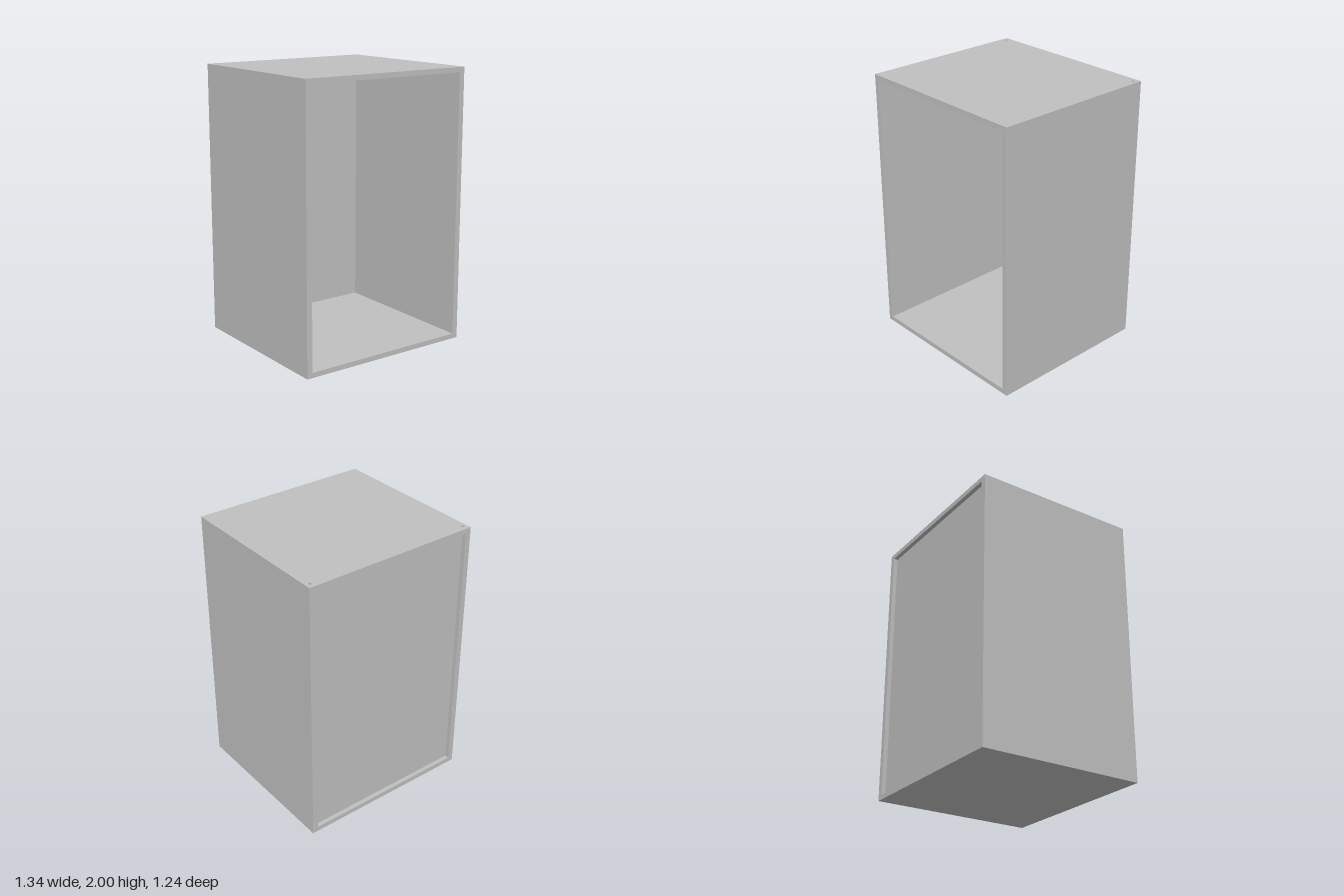
import * as THREE from 'three';

// Overall half sizes, board thickness, and the band the back panel sits in
const W = 0.672, D = 0.621, H = 2;
const SIDE = 0.042, BOARD = 0.037;
const PANEL_BACK = -0.59, PANEL_FRONT = -0.568;

function rectangle(path, x0, x1, y0, y1) {
  path.moveTo(x0, y0);
  path.lineTo(x1, y0);
  path.lineTo(x1, y1);
  path.lineTo(x0, y1);
  path.closePath();
  return path;
}

export function createModel() {
  const group = new THREE.Group();
  group.name = 'cabinet';
  const grey = new THREE.MeshStandardMaterial({ color: 0xc0c0c0 });
  grey.name = 'light grey';

  function add(name, geometry, x, y, z) {
    const mesh = new THREE.Mesh(geometry, grey);
    mesh.name = name;
    mesh.position.set(x, y, z);
    group.add(mesh);
  }

  const inner = W - SIDE;
  const wallHeight = H - 2 * BOARD;

  // Bottom board and side walls
  add('bottomBoard', new THREE.BoxGeometry(2 * W, BOARD, 2 * D), 0, BOARD / 2, 0);
  for (const [name, s] of [['leftSide', 1], ['rightSide', -1]]) {
    add(name, new THREE.BoxGeometry(SIDE, wallHeight, 2 * D), s * (W - SIDE / 2), H / 2, 0);
  }

  // Top board with the two small open ends of the back panel grooves
  const top = rectangle(new THREE.Shape(), -W, W, -D, D);
  for (const x of [-0.647, 0.629]) {
    top.holes.push(rectangle(new THREE.Path(), x, x + 0.018, -PANEL_FRONT, -PANEL_BACK));
  }
  const topGeometry = new THREE.ExtrudeGeometry(top, { depth: BOARD, bevelEnabled: false });
  topGeometry.rotateX(-Math.PI / 2);
  add('topBoard', topGeometry, 0, H - BOARD, 0);

  // Back panel, set in slightly from the rear edges
  const thickness = PANEL_FRONT - PANEL_BACK;
  add('backPanel', new THREE.BoxGeometry(2 * inner, wallHeight, thickness),
    0, H / 2, (PANEL_FRONT + PANEL_BACK) / 2);

  return group;
}
